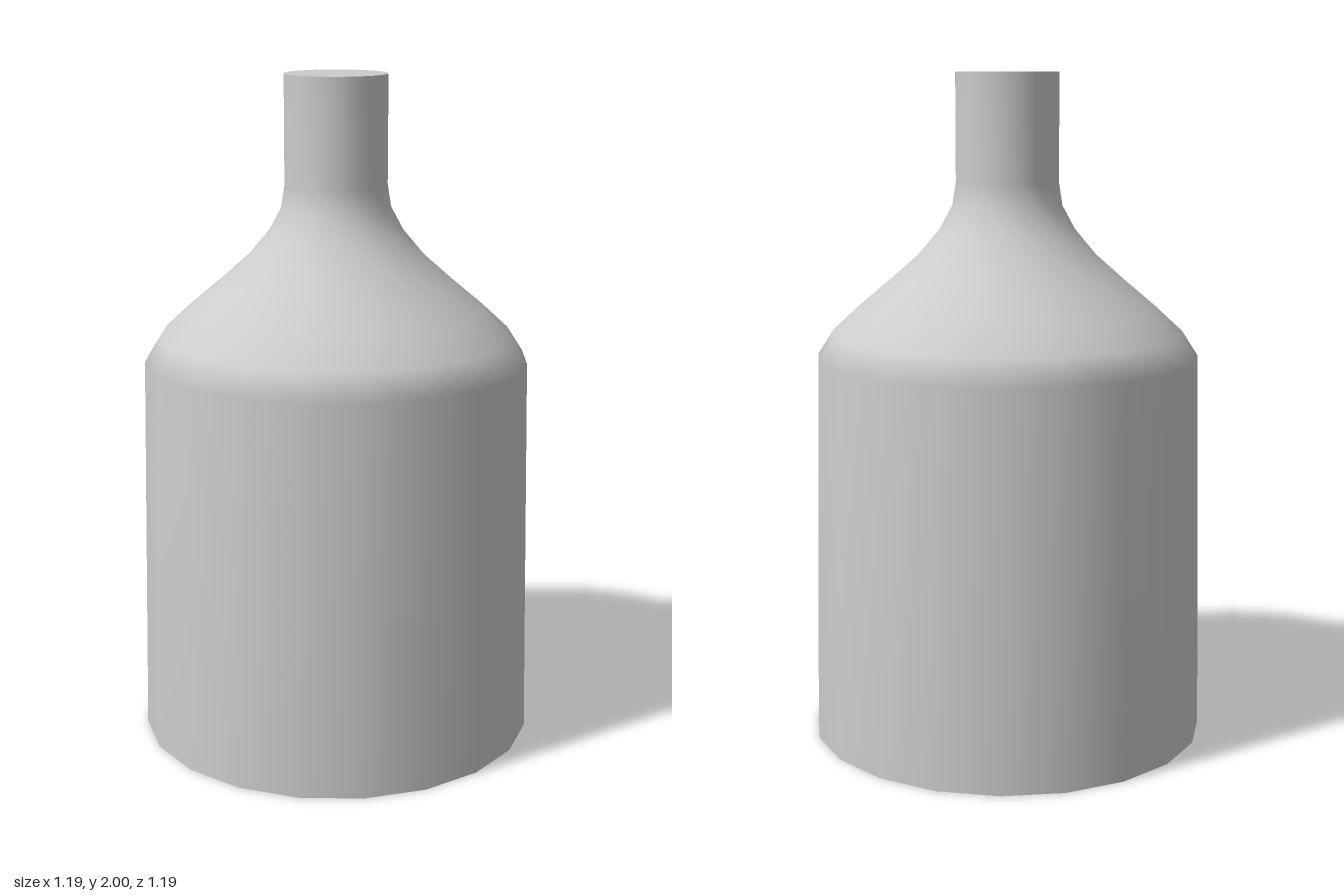
import * as THREE from 'three';

const SIDES = 20;

export function createModel() {
  const group = new THREE.Group();
  group.name = 'bottle';
  const material = new THREE.MeshStandardMaterial({ color: 0xcccccc });

  const add = (name, geometry, y = 0) => {
    const mesh = new THREE.Mesh(geometry, material);
    mesh.name = name;
    mesh.position.y = y;
    group.add(mesh);
  };

  // Tapered body, curved shoulder and straight neck in one smooth profile [radius, height]
  const profile = [
    [0.597, 0], [0.574, 1.16], [0.526, 1.235], [0.445, 1.31], [0.35, 1.39],
    [0.265, 1.465], [0.202, 1.54], [0.164, 1.61], [0.153, 1.68], [0.153, 2],
  ].map(([r, y]) => new THREE.Vector2(r, y));
  add('bottleWall', new THREE.LatheGeometry(profile, SIDES));

  // Flat discs close both ends with a sharp edge
  add('neckCap', new THREE.CircleGeometry(0.153, SIDES).rotateX(-Math.PI / 2), 2);
  add('base', new THREE.CircleGeometry(0.597, SIDES).rotateX(Math.PI / 2));

  return group;
}
